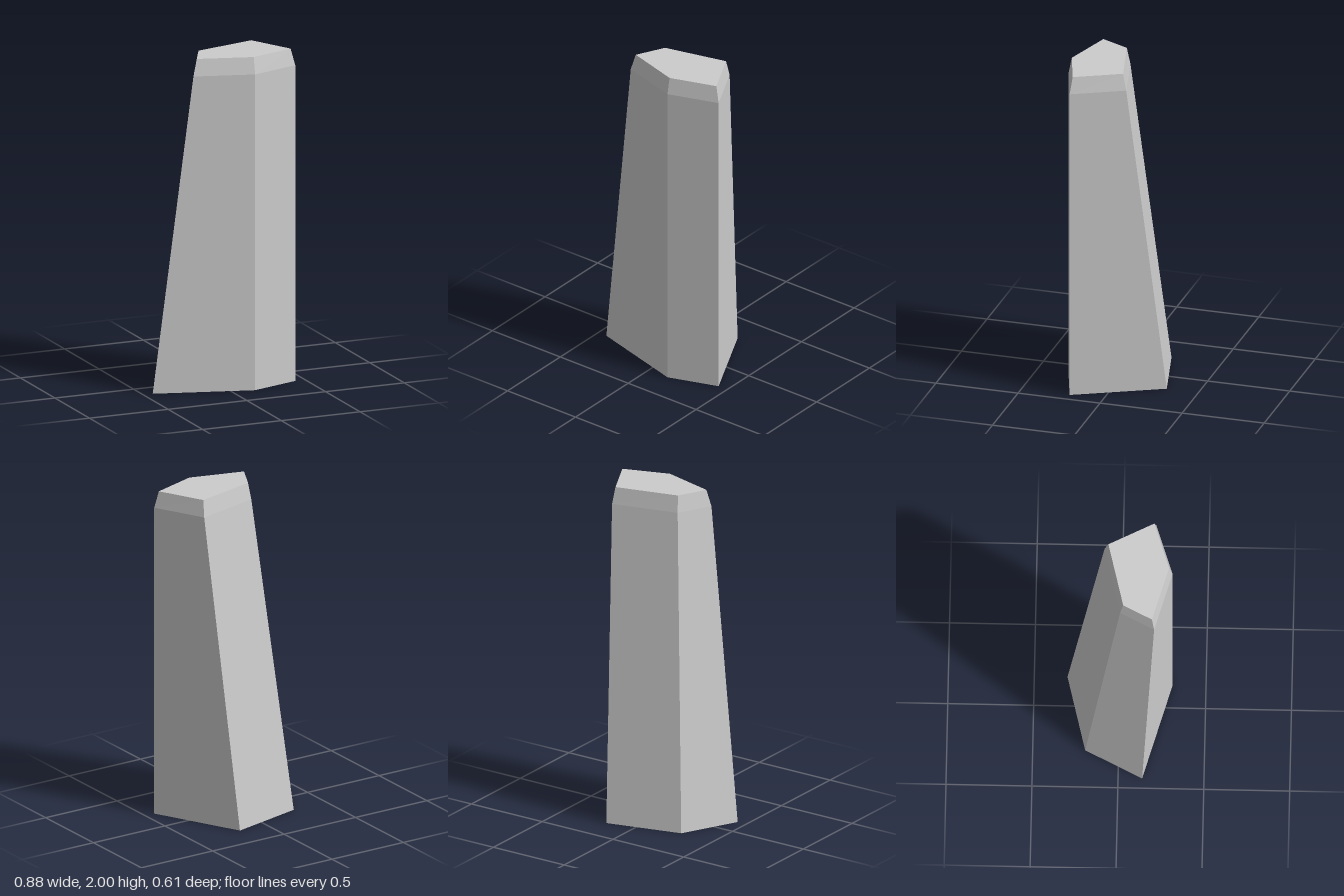
import * as THREE from 'three';

// Five-sided cross-sections [x, z], front-left corner first, from base to top
const sections = [
  { y: 0, ring: [[-0.44, 0.14], [0.138, 0.305], [0.437, 0.205], [0.18, -0.307], [-0.272, -0.195]] },
  { y: 1.9, ring: [[-0.21, 0.205], [0.138, 0.305], [0.437, 0.205], [0.287, -0.093], [-0.109, 0.005]] },
  { y: 2, ring: [[-0.183, 0.192], [0.138, 0.285], [0.412, 0.194], [0.278, -0.071], [-0.098, 0.023]] },
];

// Join the rings with flat walls and close both ends
function loft(levels) {
  const rings = levels.map(({ y, ring }) => ring.map(([x, z]) => [x, y, z]));
  const n = rings[0].length;
  const positions = [];
  const tri = (a, b, c) => positions.push(...a, ...b, ...c);
  for (let k = 0; k < rings.length - 1; k++) {
    const lower = rings[k], upper = rings[k + 1];
    for (let i = 0; i < n; i++) {
      const j = (i + 1) % n;
      tri(lower[i], lower[j], upper[j]);
      tri(lower[i], upper[j], upper[i]);
    }
  }
  const base = rings[0], top = rings[rings.length - 1];
  for (let i = 1; i < n - 1; i++) {
    tri(base[0], base[i + 1], base[i]);
    tri(top[0], top[i], top[i + 1]);
  }
  const geometry = new THREE.BufferGeometry();
  geometry.setAttribute('position', new THREE.Float32BufferAttribute(positions, 3));
  geometry.computeVertexNormals();
  return geometry;
}

export function createModel() {
  const group = new THREE.Group();
  group.name = 'standingStone';

  // Leaning pillar with a bevelled top
  const material = new THREE.MeshStandardMaterial({ color: 0xcccccc, flatShading: true });
  const pillar = new THREE.Mesh(loft(sections), material);
  pillar.name = 'stonePillar';
  group.add(pillar);

  return group;
}
